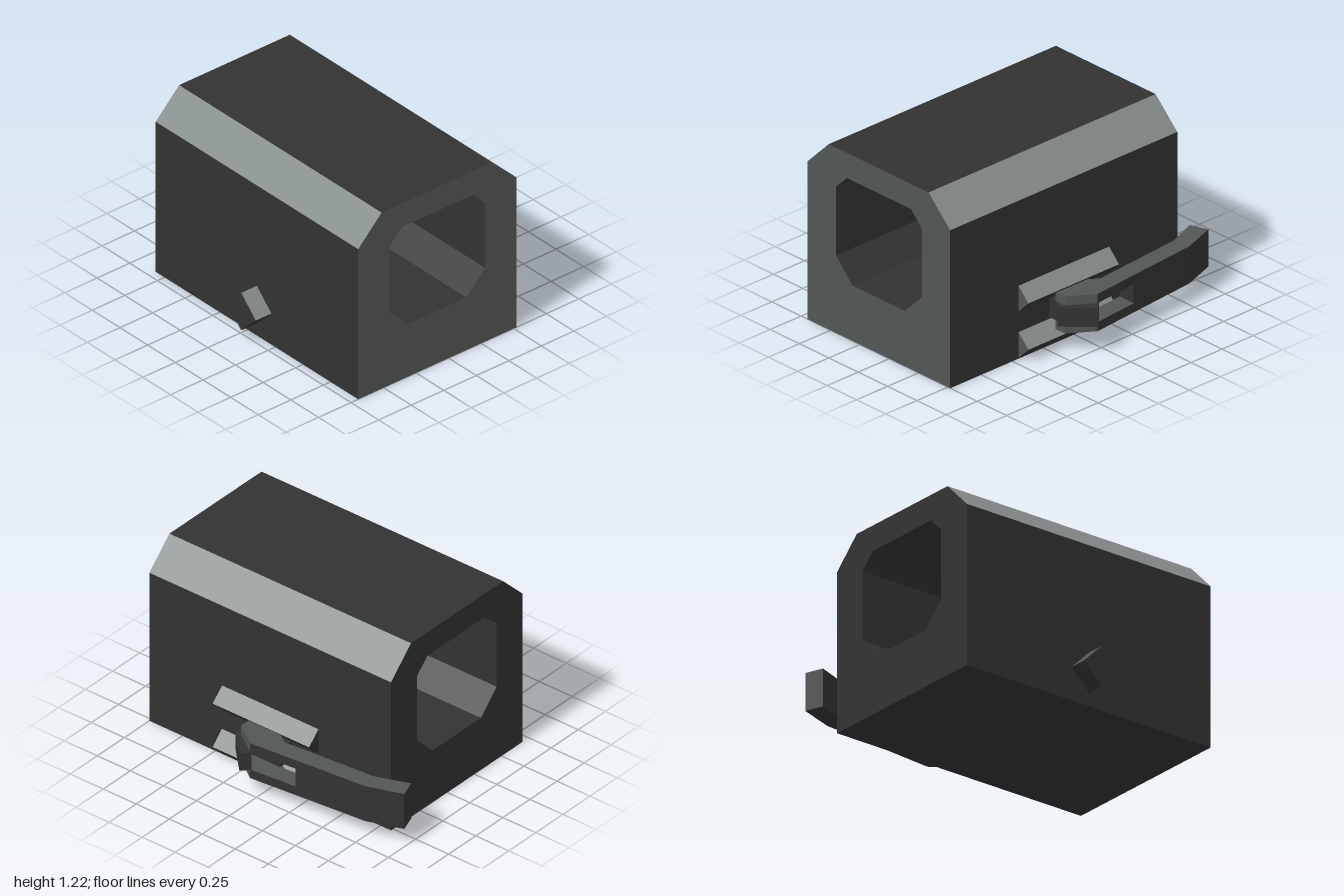
import * as THREE from 'three';

const mat = (name, color) => {
  const m = new THREE.MeshStandardMaterial({ color });
  m.name = name;
  return m;
};

export function createModel() {
  const materials = [
    mat('darkMetal', 0x323232),
    mat('greyMetal', 0x515655),
    mat('lightEdge', 0x828a89),
  ];
  const D = 0, A = 1, G = 2;
  // Profile axes (u, v) and extrusion w form a right-handed frame.
  const frames = {
    x: (u, v, w) => [w, u, v],
    y: (u, v, w) => [v, w, u],
    z: (u, v, w) => [u, v, w],
  };

  // Flat-faced prism from a counter-clockwise profile; edges, near and far caps take a colour index.
  function prism(name, axis, pts, w0, w1, { edges = [], near = D, far = D, hole = null } = {}) {
    const place = frames[axis];
    const lists = [[], [], []];
    const tri = (m, ...corners) => corners.forEach((c) => lists[m].push(...place(...c)));
    const walls = (ring, colours) => ring.forEach((p, i) => {
      const q = ring[(i + 1) % ring.length];
      const m = colours[i] ?? D;
      tri(m, [...p, w0], [...q, w0], [...q, w1]);
      tri(m, [...p, w0], [...q, w1], [...p, w1]);
    });
    walls(pts, edges);
    if (hole) walls(hole, []);
    const v2 = (ring) => ring.map((p) => new THREE.Vector2(...p));
    const all = hole ? [...pts, ...hole] : pts;
    for (const f of THREE.ShapeUtils.triangulateShape(v2(pts), hole ? [v2(hole)] : [])) {
      let [a, b, c] = f.map((i) => all[i]);
      const turn = (b[0] - a[0]) * (c[1] - a[1]) - (b[1] - a[1]) * (c[0] - a[0]);
      if (turn < 0) [b, c] = [c, b];
      tri(far, [...a, w1], [...b, w1], [...c, w1]);
      tri(near, [...a, w0], [...c, w0], [...b, w0]);
    }
    const g = new THREE.BufferGeometry();
    g.setAttribute('position', new THREE.Float32BufferAttribute(lists.flat(), 3));
    let start = 0;
    lists.forEach((l, i) => {
      if (l.length) g.addGroup(start, l.length / 3, i);
      start += l.length / 3;
    });
    g.computeVertexNormals();
    const mesh = new THREE.Mesh(g, materials);
    mesh.name = name;
    return mesh;
  }

  const model = new THREE.Group();
  model.name = 'tubularHousing';

  // Housing with bevelled top edges and an eight-sided bore (listed clockwise)
  model.add(prism('housing', 'z',
    [[-0.695, 0], [0.52, 0], [0.52, 1.04], [0.335, 1.22], [-0.515, 1.22], [-0.695, 1.04]],
    -0.83, 1, {
      edges: [D, D, G, D, G, D], far: A,
      hole: [[-0.455, 0.51], [-0.455, 0.96], [-0.36, 1.055], [0.185, 1.055],
        [0.28, 0.96], [0.28, 0.51], [0.135, 0.365], [-0.31, 0.365]],
    }));

  // Two wedge rails beside the lever
  [['upperRail', 0.395], ['lowerRail', 0.09]].forEach(([name, y]) => {
    model.add(prism(name, 'z', [[0.52, y - 0.085], [0.605, y], [0.52, y + 0.085]],
      -0.28, 0.45, { edges: [D, G, D], far: A }));
  });

  // Diamond-shaped stud on the opposite side
  const y = 0.215, z = 0.085, r = 0.13;
  model.add(prism('sideStud', 'x', [[y + r, z], [y, z + r], [y - r, z], [y, z - r]],
    -0.815, -0.695, { edges: [G, D, D, A] }));

  // Bent lever: solid tail, forked front, crossbar and pivot; profiles are (z, x)
  const lever = new THREE.Group();
  lever.name = 'lever';
  lever.add(prism('leverTail', 'y',
    [[-0.96, 0.49], [-0.75, 0.57], [-0.28, 0.61], [-0.28, 0.73], [-0.77, 0.685], [-1, 0.605]],
    0.125, 0.37, { far: A }));
  [['lowerProng', 0.125, 0.185], ['upperProng', 0.31, 0.37]].forEach(([name, a, b]) => {
    lever.add(prism(name, 'y',
      [[-0.28, 0.61], [-0.11, 0.625], [-0.03, 0.57], [0.2, 0.57], [0.2, 0.65], [0.04, 0.76], [-0.28, 0.73]],
      a, b, { edges: [D, D, D, A, A, D, D], far: A }));
  });
  lever.add(prism('crossbar', 'y', [[0.03, 0.76], [0.21, 0.6], [0.25, 0.64], [0.08, 0.81]], 0.185, 0.31));
  lever.add(prism('pivotBlock', 'y', [[-0.08, 0.52], [0.2, 0.52], [0.2, 0.63], [-0.08, 0.63]], 0.185, 0.31));
  model.add(lever);

  return model;
}
